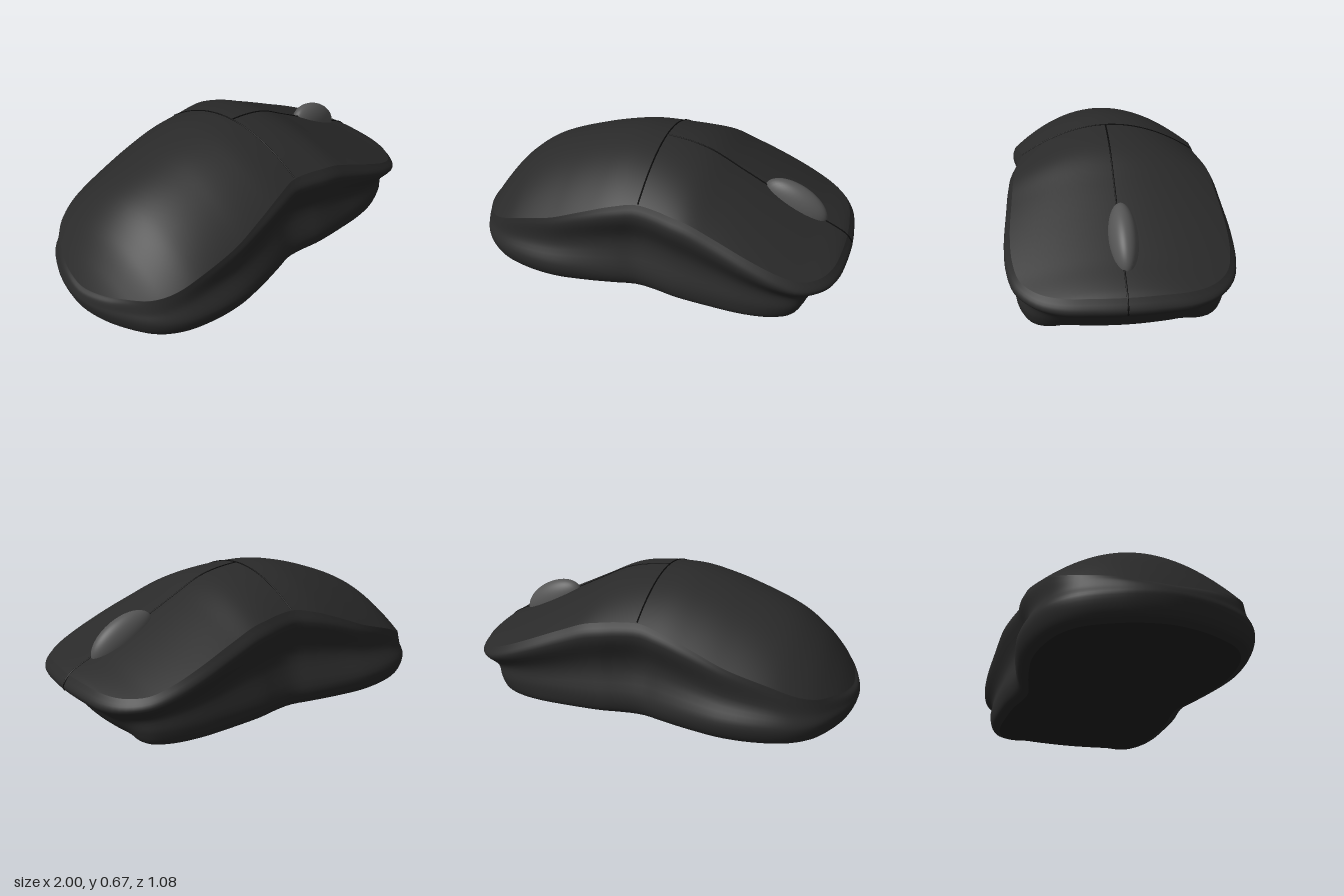
import * as THREE from 'three';
import { mergeVertices } from 'three/addons/utils/BufferGeometryUtils.js';

// Smooth 1D interpolation through [x, value] keys
function spline(keys) {
  const slope = (i) => {
    const a = keys[Math.max(i - 1, 0)], b = keys[Math.min(i + 1, keys.length - 1)];
    return (b[1] - a[1]) / (b[0] - a[0]);
  };
  return (x) => {
    x = THREE.MathUtils.clamp(x, keys[0][0], keys[keys.length - 1][0]);
    let i = 0;
    while (i < keys.length - 2 && x > keys[i + 1][0]) i++;
    const w = keys[i + 1][0] - keys[i][0], t = (x - keys[i][0]) / w, t2 = t * t, t3 = t2 * t;
    return keys[i][1] * (2 * t3 - 3 * t2 + 1) + keys[i + 1][1] * (3 * t2 - 2 * t3)
      + slope(i) * w * (t3 - 2 * t2 + t) + slope(i + 1) * w * (t3 - t2);
  };
}

// Height of the shell along the centre line, and how far it falls towards the sides
const ridge = spline([[-1, 0.1], [-0.97, 0.16], [-0.9, 0.265], [-0.8, 0.385], [-0.65, 0.5], [-0.4, 0.6],
  [-0.2, 0.652], [-0.08, 0.665], [0.1, 0.655], [0.25, 0.62], [0.4, 0.545], [0.6, 0.443], [0.8, 0.345], [0.94, 0.28], [1, 0.235]]);
const fall = spline([[-1, 0.23], [-0.5, 0.24], [0, 0.2], [0.3, 0.13], [0.6, 0.09], [1, 0.08]]);
const top = (x, z) => ridge(x) - fall(x) * (z / 0.5) ** 2;

// Plan outline: half widths, mirrored into a closed loop
const half = [[-0.985, 0.12], [-0.95, 0.23], [-0.86, 0.39], [-0.75, 0.475], [-0.6, 0.523], [-0.43, 0.54], [-0.25, 0.52],
  [-0.1, 0.492], [0, 0.472], [0.1, 0.483], [0.2, 0.503], [0.4, 0.52], [0.57, 0.53], [0.72, 0.52], [0.83, 0.485],
  [0.92, 0.4], [0.97, 0.29], [0.993, 0.14]];
const outline = new THREE.CatmullRomCurve3([
  new THREE.Vector3(-1, 0, 0), ...half.map(([x, z]) => new THREE.Vector3(x, 0, z)),
  new THREE.Vector3(1, 0, 0), ...half.slice().reverse().map(([x, z]) => new THREE.Vector3(x, 0, -z)),
], true);

// Side-wall rules along the length: insets from the outline and heights
const at = [-1, -0.85, -0.5, 0, 0.55, 0.85, 0.97];
const rule = (...v) => spline(at.map((x, i) => [x, v[i]]));
const wall = {
  rim: rule(0.03, 0.035, 0.055, 0.03, 0.03, 0.03, 0.03),
  shoulder: rule(0.012, 0.03, 0.048, 0.003, 0, 0, 0),
  shoulderY: rule(0.75, 0.8, 0.85, 0.85, 0.8, 0.75, 0.72),
  groove: rule(0.003, 0.02, 0.05, 0.055, 0.05, 0.06, 0.09),
  grooveY: rule(0.4, 0.45, 0.45, 0.45, 0.38, 0.36, 0.34),
  base: rule(0, 0, 0, 0.01, 0.035, 0.07, 0.14),
  baseY: rule(0.1, 0.1, 0.1, 0.09, 0.09, 0.08, 0.05),
  foot: rule(0.03, 0.03, 0.03, 0.035, 0.05, 0.1, 0.17),
};

// Smooth surface through rows of closed rings
function loft(rows) {
  const n = rows[0].length, index = [];
  for (let i = 0; i < rows.length - 1; i++) {
    for (let j = 0; j < n; j++) {
      const k = (j + 1) % n, a = i * n + j, b = a + n, c = (i + 1) * n + k, d = i * n + k;
      index.push(a, b, c, a, c, d);
    }
  }
  const g = new THREE.BufferGeometry();
  g.setAttribute('position', new THREE.Float32BufferAttribute(rows.flat().flatMap((p) => [p.x, p.y, p.z]), 3));
  g.setIndex(index);
  const m = mergeVertices(g, 1e-5);
  m.computeVertexNormals();
  return m;
}

export function createModel() {
  const group = new THREE.Group();
  const add = (name, geometry, color) => {
    const mesh = new THREE.Mesh(geometry, new THREE.MeshStandardMaterial({ color }));
    mesh.name = name;
    group.add(mesh);
    return mesh;
  };

  // One column of the shell per outline point: dome, shoulder, groove, base bulge, foot
  const N = 160, DOME = 36, SIDE = 26;
  const columns = [];
  for (let j = 0; j < N; j++) {
    const p = outline.getPointAt(j / N), t = outline.getTangentAt(j / N);
    const inset = (d, y) => new THREE.Vector3(p.x + t.z * d, y, p.z - t.x * d);
    const w = (key) => wall[key](p.x);
    const rim = inset(w('rim'), 0);
    rim.y = top(rim.x, rim.z);
    const yb = w('baseY'), mix = (f) => yb + (rim.y - yb) * f;
    const column = [];
    for (let i = 0; i < DOME; i++) {
      const s = Math.sin((i / DOME) * Math.PI / 2), x = rim.x * s, z = rim.z * s;
      column.push(new THREE.Vector3(x, top(x, z), z));
    }
    const side = new THREE.CatmullRomCurve3([rim,
      inset(w('shoulder'), mix(w('shoulderY'))), inset(w('groove'), mix(w('grooveY'))),
      inset(w('base'), yb), inset(w('foot'), 0.018), inset(w('foot') + 0.04, 0)]);
    column.push(...side.getPoints(SIDE));
    columns.push(column);
  }
  const rows = columns[0].map((_, i) => columns.map((c) => c[i]));
  add('shell', loft(rows), 0x2a2a2a);

  // Flat underside
  const edge = rows[rows.length - 1];
  add('underside', loft([edge, edge.map(() => new THREE.Vector3())]), 0x222222);

  // Seams: across the shell, and between the two buttons
  const seam = (name, points) =>
    add(name, new THREE.TubeGeometry(new THREE.CatmullRomCurve3(points), 80, 0.004, 6), 0x0a0a0a);
  const across = [], between = [];
  for (let i = 0; i <= 24; i++) {
    const z = -0.44 + 0.88 * i / 24, x = 0.015 + 0.945 * i / 24;
    across.push(new THREE.Vector3(0.015, top(0.015, z), z));
    between.push(new THREE.Vector3(x, top(x, 0.008), 0.008));
  }
  between.push(new THREE.Vector3(0.995, 0.225, 0.008), new THREE.Vector3(0.997, 0.19, 0.008));
  seam('crossSeam', across);
  seam('buttonSeam', between);

  // Scroll wheel
  const wheel = add('scrollWheel', new THREE.SphereGeometry(1, 40, 28), 0x555555);
  wheel.scale.set(0.18, 0.1, 0.067);
  wheel.rotation.z = -0.52;
  wheel.position.set(0.695, 0.385, -0.005);

  return group;
}
